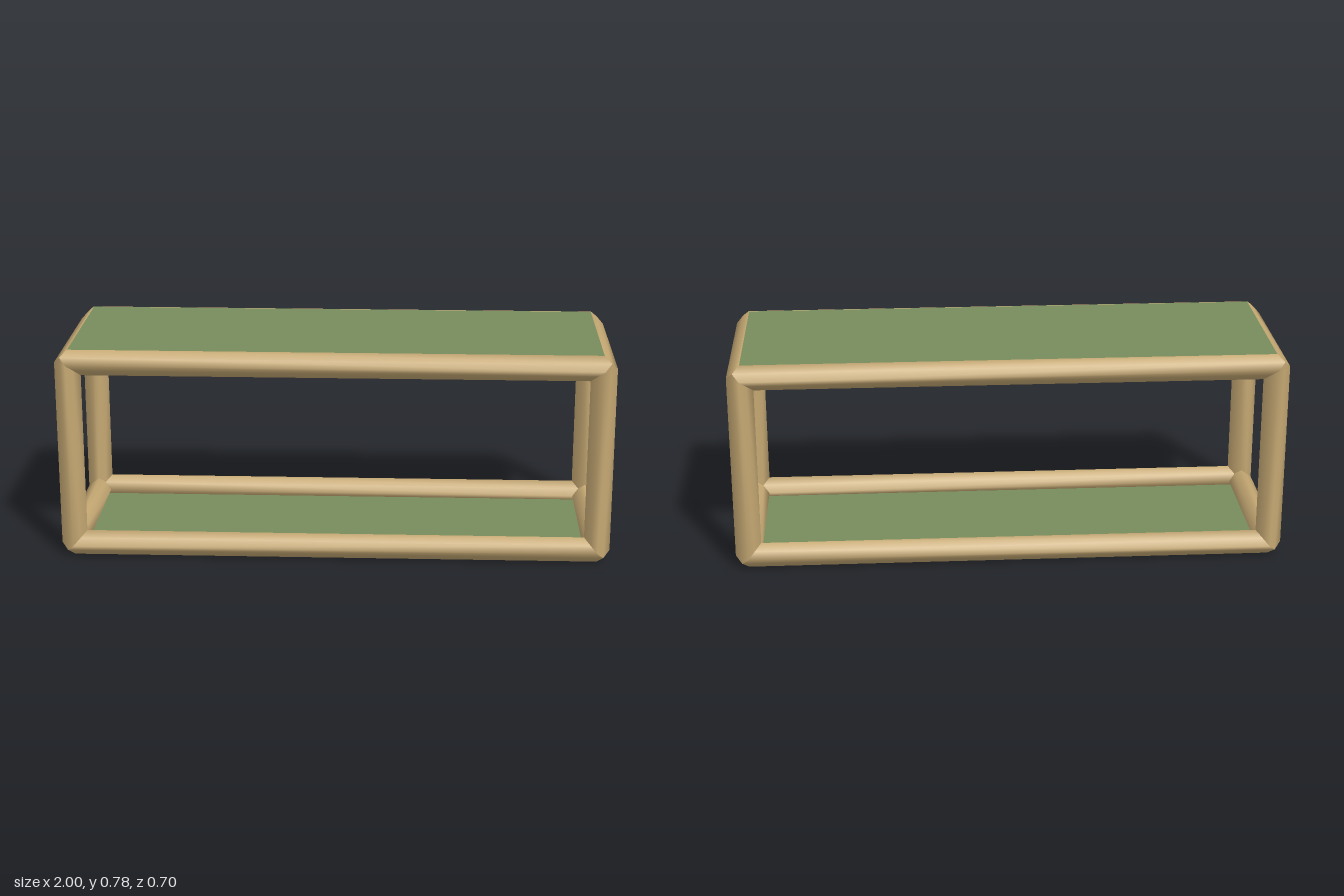
import * as THREE from 'three';

const R = 0.047;                       // half diagonal of the diamond bar section
const HALF = [0.953, 0.343, 0.303];    // bar centre lines, half extents in x, y, z
const MID_Y = HALF[1] + R;

// Diamond section: 4 ridges and 4 face middles as [outwardB, outwardC, end offset].
// The end offsets mitre three bars neatly into each corner.
const RING = [
  [1, 0, 0], [0.5, 0.5, 0.5], [0, 1, 0], [-0.5, 0.5, -0.5],
  [-1, 0, -1], [-0.5, -0.5, -0.5], [0, -1, -1], [0.5, -0.5, -0.5],
];

// Mitred bar along axis a, on the sides sb and sc of the other two axes
function barGeometry(a, sb, sc) {
  const b = (a + 1) % 3, c = (a + 2) % 3;
  const positions = [], index = [];
  for (const end of [-1, 1]) {
    for (const [u, v, w] of RING) {
      const p = [0, 0, 0];
      p[a] = end * (HALF[a] + w * R);
      p[b] = sb * (HALF[b] + u * R);
      p[c] = sc * (HALF[c] + v * R);
      positions.push(...p);
    }
  }
  for (let i = 0; i < 8; i++) {
    const j = (i + 1) % 8;
    if (sb * sc > 0) index.push(i, j, j + 8, i, j + 8, i + 8);
    else index.push(i, j + 8, j, i, i + 8, j + 8);
  }
  const geometry = new THREE.BufferGeometry();
  geometry.setAttribute('position', new THREE.Float32BufferAttribute(positions, 3));
  geometry.setIndex(index);
  geometry.computeVertexNormals();
  return geometry;
}

export function createModel() {
  const group = new THREE.Group();
  group.name = 'shelfFrame';
  const wood = new THREE.MeshStandardMaterial({ color: 0xc5a873 });
  const green = new THREE.MeshStandardMaterial({ color: 0x788c5c, side: THREE.DoubleSide });

  // Twelve bars: four along each axis
  const names = ['longRail', 'post', 'crossRail'];
  for (let a = 0; a < 3; a++) {
    for (const sb of [-1, 1]) {
      for (const sc of [-1, 1]) {
        const bar = new THREE.Mesh(barGeometry(a, sb, sc), wood);
        bar.name = names[a];
        bar.position.y = MID_Y;
        group.add(bar);
      }
    }
  }

  // Thin panels: one flush with the top ridges, one let into the bottom rails
  for (const [name, y] of [['topPanel', 2 * MID_Y - 0.001], ['bottomPanel', 0.025]]) {
    const panel = new THREE.Mesh(new THREE.PlaneGeometry(2 * HALF[0], 2 * HALF[2]), green);
    panel.name = name;
    panel.rotation.x = -Math.PI / 2;
    panel.position.y = y;
    group.add(panel);
  }
  return group;
}
